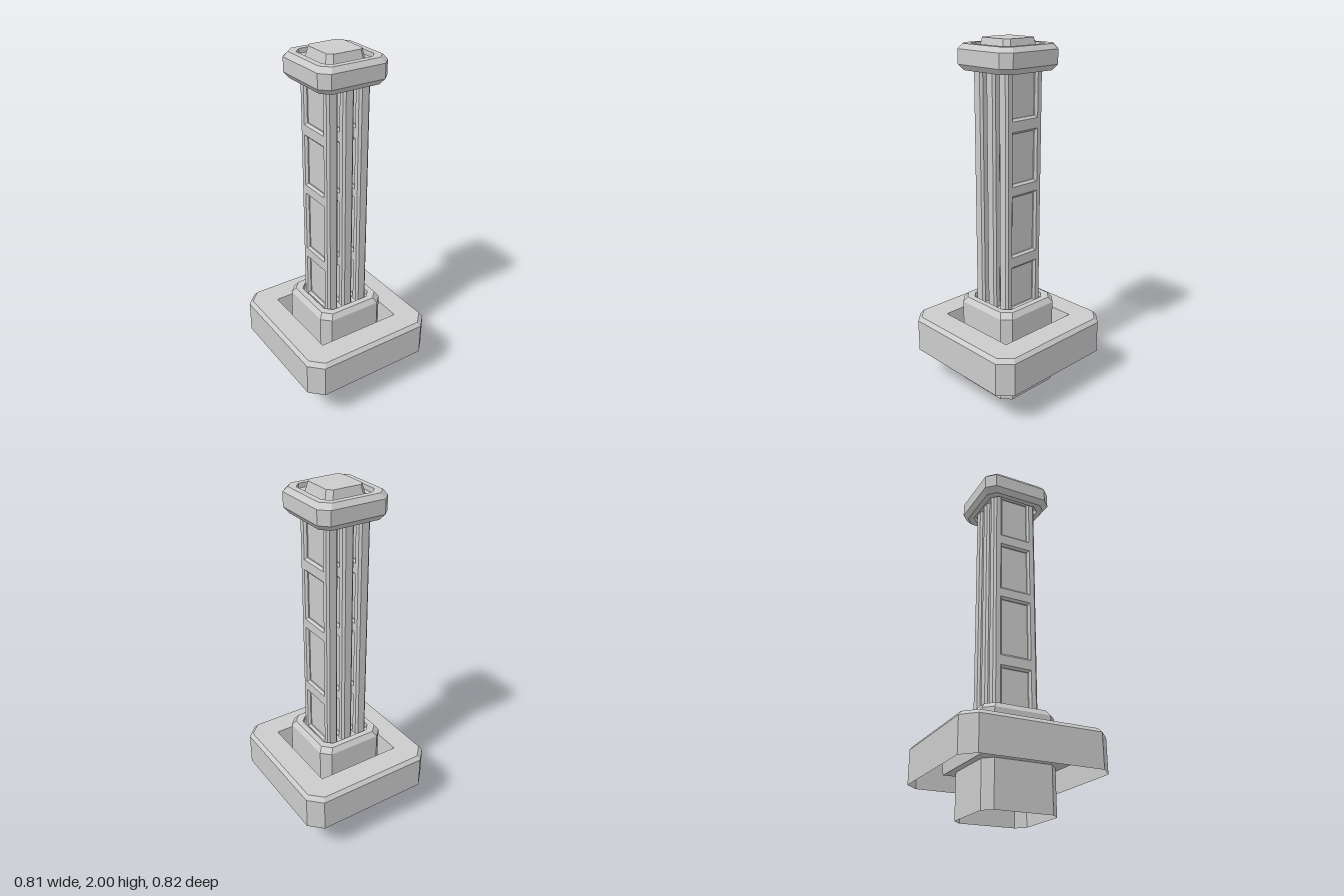
import * as THREE from 'three';

const material = new THREE.MeshStandardMaterial({ color: 0xcccccc, side: THREE.DoubleSide });

function addMesh(parent, name, geometry) {
  const mesh = new THREE.Mesh(geometry, material);
  mesh.name = name;
  parent.add(mesh);
  return mesh;
}

// Square section with cut corners: half width, half depth, corner cut
function section([half, y, cut]) {
  const w = half, d = half > 0 ? half + 0.004 : 0;
  return [
    [w, -d + cut], [w, d - cut], [w - cut, d], [-w + cut, d],
    [-w, d - cut], [-w, -d + cut], [-w + cut, -d], [w - cut, -d],
  ].map(([x, z]) => new THREE.Vector3(x, y, z));
}

// Skin a stack of sections [half, y, cut] with flat faces
function loft(profile) {
  const rings = profile.map(section);
  const positions = [];
  const triangle = (a, b, c) => {
    if (new THREE.Triangle(a, b, c).getArea() < 1e-8) return;
    for (const p of [a, b, c]) positions.push(p.x, p.y, p.z);
  };
  for (let i = 0; i < rings.length - 1; i++) {
    for (let j = 0; j < 8; j++) {
      const k = (j + 1) % 8;
      triangle(rings[i][j], rings[i + 1][j], rings[i + 1][k]);
      triangle(rings[i][j], rings[i + 1][k], rings[i][k]);
    }
  }
  const geometry = new THREE.BufferGeometry();
  geometry.setAttribute('position', new THREE.Float32BufferAttribute(positions, 3));
  geometry.computeVertexNormals();
  return geometry;
}

function rectangle(target, z0, z1, y0, y1) {
  target.moveTo(z0, y0);
  target.lineTo(z1, y0);
  target.lineTo(z1, y1);
  target.lineTo(z0, y1);
  target.closePath();
  return target;
}

// Upright slab with bevelled edges and sunken panels on both faces
function createSlab() {
  const slab = new THREE.Group();
  const bevel = 0.012, width = 0.066;
  const shape = rectangle(new THREE.Shape(), -0.132, 0.132, 0.5, 1.88);
  const windows = [[0.53, 0.765], [0.845, 1.175], [1.25, 1.52], [1.6, 1.85]];
  for (const [y0, y1] of windows) {
    shape.holes.push(rectangle(new THREE.Path(), -0.081, 0.081, y0, y1));
  }
  const frame = new THREE.ExtrudeGeometry(shape, {
    depth: width - 2 * bevel,
    bevelEnabled: true, bevelSegments: 1,
    bevelThickness: bevel, bevelSize: bevel, bevelOffset: -bevel,
  });
  frame.translate(0, 0, -width / 2 + bevel);
  frame.rotateY(Math.PI / 2);
  addMesh(slab, 'slabFrame', frame);
  addMesh(slab, 'sunkenPanel', new THREE.BoxGeometry(0.03, 1.36, 0.2)).position.y = 1.19;
  return slab;
}

export function createModel() {
  const model = new THREE.Group();
  model.name = 'pillar';

  // Foot block, open below, with a shallow socket on top
  addMesh(model, 'footBlock', loft([
    [0.205, 0, 0.048], [0.205, 0.51, 0.048], [0.185, 0.54, 0.046],
    [0.152, 0.54, 0.038], [0.152, 0.51, 0.038], [0, 0.51, 0],
  ]));

  // Wide collar, hollow below, with a square trench around the foot
  addMesh(model, 'collar', loft([
    [0.405, 0.2, 0.072], [0.405, 0.39, 0.072], [0.387, 0.413, 0.066],
    [0.253, 0.413, 0], [0.243, 0.25, 0], [0, 0.25, 0],
  ]));

  // Three parallel slabs forming the shaft
  for (const x of [-0.097, 0, 0.097]) {
    const slab = createSlab();
    slab.name = 'shaftSlab';
    slab.position.x = x;
    model.add(slab);
  }

  // Cap with sockets below and above and a raised centre
  addMesh(model, 'cap', loft([
    [0, 1.865, 0], [0.152, 1.865, 0.038], [0.152, 1.835, 0.038],
    [0.183, 1.835, 0.046], [0.205, 1.865, 0.048], [0.205, 1.943, 0.048],
    [0.185, 1.97, 0.046], [0.152, 1.97, 0.038], [0.152, 1.945, 0.038],
    [0.117, 1.945, 0.028], [0.104, 2, 0.025], [0, 2, 0],
  ]));

  return model;
}
